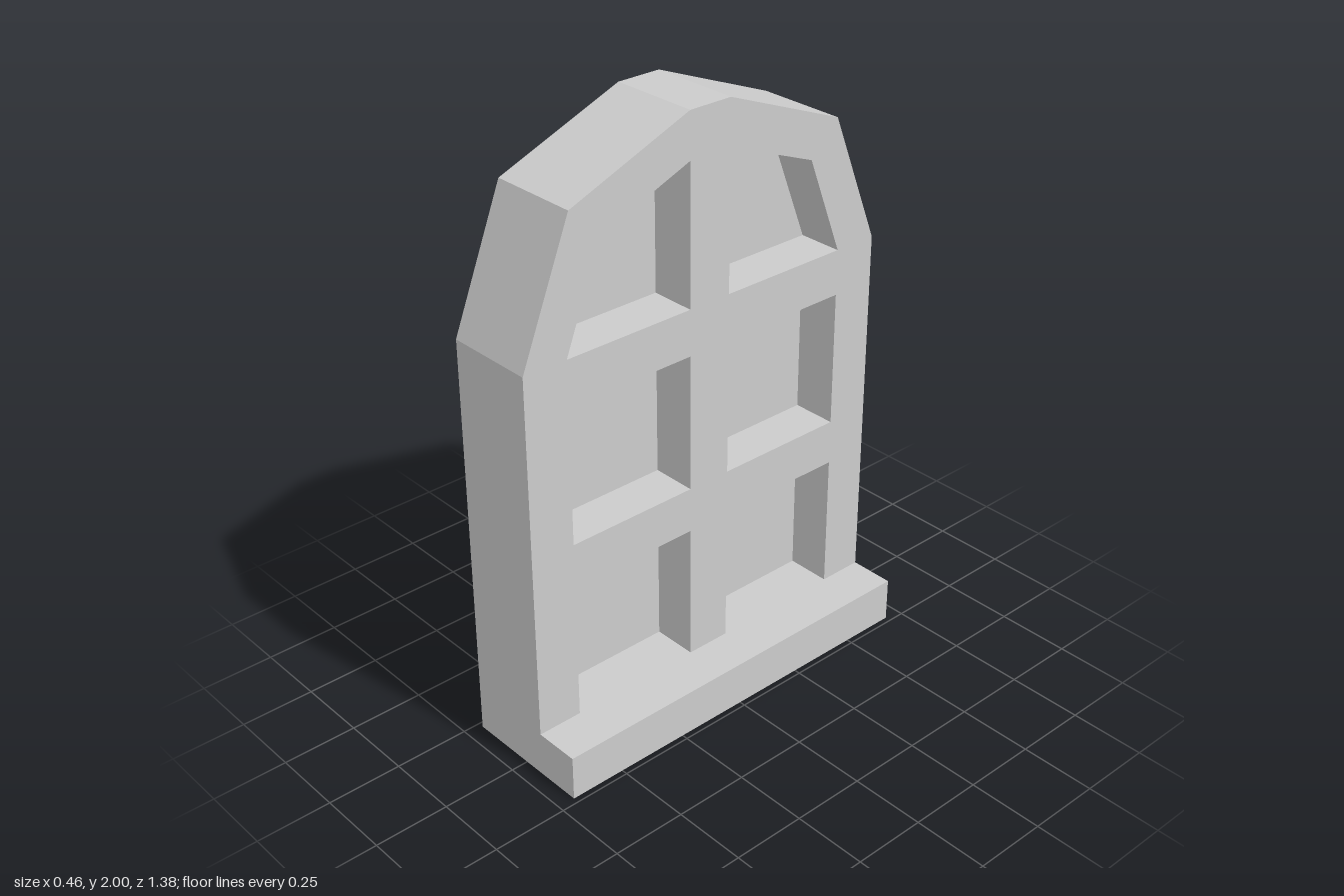
import * as THREE from 'three';

// Outlines are drawn as (u, y) with u = -z; depth runs along x.
const BACK = -0.23, PANE = -0.077, FACE = 0.076, NOSE = 0.23;
const W = 0.692, SILL = 0.153, IN = 0.077, OUT = 0.538;

const material = new THREE.MeshStandardMaterial({
  color: 0xcccccc, flatShading: true, side: THREE.DoubleSide,
});

const mirror = (pts) => pts.map(([u, y]) => [-u, y]).reverse();
const vecs = (pts) => pts.map(([u, y]) => new THREE.Vector2(u, y));

function addMesh(parent, name, geometry) {
  geometry.rotateY(Math.PI / 2);
  const mesh = new THREE.Mesh(geometry, material);
  mesh.name = name;
  parent.add(mesh);
}

// Flat face at depth x, with optional holes
function face(pts, x, holes = []) {
  const shape = new THREE.Shape(vecs(pts));
  shape.holes = holes.map((h) => new THREE.Path(vecs(h)));
  return new THREE.ShapeGeometry(shape).translate(0, 0, x);
}

// Thin wall following a closed counter-clockwise outline, facing outwards
function wall(pts, x0, x1) {
  const pos = [];
  pts.forEach(([u, y], i) => {
    const [v, w] = pts[(i + 1) % pts.length];
    pos.push(u, y, x0, v, w, x0, v, w, x1, u, y, x0, v, w, x1, u, y, x1);
  });
  const g = new THREE.BufferGeometry();
  g.setAttribute('position', new THREE.Float32BufferAttribute(pos, 3));
  g.computeVertexNormals();
  return g;
}

const rect = (u0, u1, y0, y1) => [[u0, y0], [u1, y0], [u1, y1], [u0, y1]];

export function createModel() {
  const model = new THREE.Group();
  model.name = 'archedWindow';

  // Panes of one half: lower, middle and the one cut by the arch
  const half = [
    rect(IN, OUT, SILL, 0.62),
    rect(IN, OUT, 0.773, 1.233),
    [[IN, 1.387], [OUT, 1.387], [0.409, 1.72], [IN, 1.85]],
  ];
  const panes = [...half, ...half.map(mirror)];

  // Hollow surround, open at the back
  const arch = [[W, 1.387], [0.515, 1.828], [IN, 2]];
  const top = [...arch, ...mirror(arch)];
  addMesh(model, 'surround', wall([[-W, 0], [W, 0], ...top], BACK, FACE));

  // Front frame, notched at the bottom where the lower panes meet the sill
  const notch = [[IN, SILL], [IN, 0.62], [OUT, 0.62], [OUT, SILL], [W, SILL]];
  const frame = [...mirror(notch), ...notch, ...top];
  const holes = panes.filter((p) => Math.min(...p.map((c) => c[1])) > 0.5);
  addMesh(model, 'frontFrame', face(frame, FACE, holes));

  // Recessed panes with their reveals
  for (const p of panes) {
    const pane = new THREE.Group();
    pane.name = 'pane';
    addMesh(pane, 'glass', face(p, PANE));
    addMesh(pane, 'reveal', wall([...p].reverse(), PANE, FACE));
    model.add(pane);
  }

  // Projecting sill
  const sill = new THREE.Group();
  sill.name = 'sill';
  const band = rect(-W, W, 0, SILL);
  addMesh(sill, 'sillBody', wall(band, FACE, NOSE));
  addMesh(sill, 'sillFront', face(band, NOSE));
  model.add(sill);

  return model;
}
